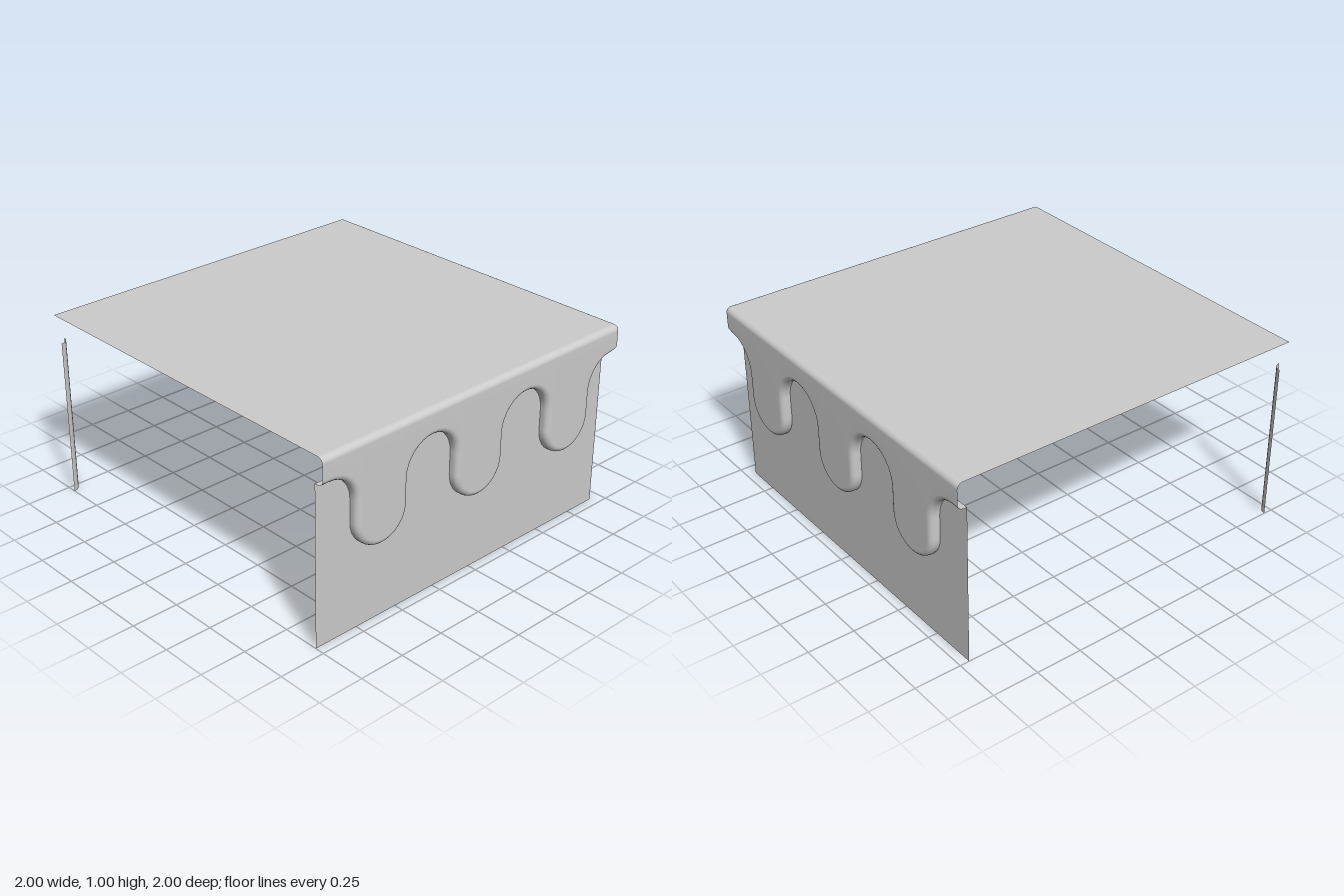
import * as THREE from 'three';

const R = 0.03;        // rounding of edges and corners
const WALL = 0.95;     // distance of the wall from the centre
const ARCH_TOP = 0.86; // underside of the icing between drips
const H = 0.08;        // path length on each side given to the corner turn

const material = new THREE.MeshStandardMaterial({ color: 0xcccccc, side: THREE.DoubleSide });

// Point on the L-shaped run around the outer corner: t = -2 (front end) .. 0 (corner) .. 2 (left end)
function onPath(t, y, reach, radius) {
  if (t <= -H - 1e-6) return [reach, y, -(1 + t)];
  if (t >= H + 1e-6) return [1 - t, y, -reach];
  const a = ((t + H) / (2 * H)) * Math.PI / 2;
  const c = reach - radius;
  return [c + radius * Math.cos(a), y, -c - radius * Math.sin(a)];
}

// Smooth surface from a grid of points
function gridMesh(name, columns) {
  const rows = columns[0].length;
  const index = [];
  for (let i = 0; i < columns.length - 1; i++) {
    for (let j = 0; j < rows - 1; j++) {
      const a = i * rows + j, b = a + rows;
      index.push(a, b, a + 1, b, b + 1, a + 1);
    }
  }
  const geometry = new THREE.BufferGeometry();
  geometry.setAttribute('position', new THREE.Float32BufferAttribute(columns.flat(2), 3));
  geometry.setIndex(index);
  geometry.computeVertexNormals();
  const mesh = new THREE.Mesh(geometry, material);
  mesh.name = name;
  return mesh;
}

// Scalloped lower edge along one side, s = -1 .. 1, with normals pointing out of the icing
function scallopEdge() {
  const r = 0.15875, pts = [{ s: -1, y: ARCH_TOP, ns: 0, ny: -1 }];
  const arc = (cs, cy, from, to, sign) => {
    const n = Math.round(Math.abs(to - from) / 11.25);
    for (let i = 0; i <= n; i++) {
      const a = THREE.MathUtils.degToRad(from + (to - from) * i / n);
      const c = Math.cos(a), d = Math.sin(a);
      pts.push({ s: cs + r * c, y: cy + r * d, ns: sign * c, ny: sign * d });
    }
  };
  const archY = ARCH_TOP - r, dripY = 0.42 + r;
  for (let k = -1; k <= 1; k++) {
    const centre = k * 4 * r;
    arc(centre - 2 * r, archY, k === -1 ? 90 : 180, 0, -1);
    arc(centre, dripY, 180, 360, 1);
  }
  arc(6 * r, archY, 180, 90, -1);
  pts.push({ s: 1, y: ARCH_TOP, ns: 0, ny: -1 });
  return pts;
}

// Edge for both sides, joined by the corner turn
function fullEdge() {
  const side = scallopEdge();
  const turn = [];
  for (let i = 0; i <= 8; i++) turn.push({ t: -H + 2 * H * i / 8, y: ARCH_TOP, ns: 0, ny: -1 });
  return [
    ...side.map(p => ({ ...p, t: p.s - 1 })).filter(p => p.t < -H - 0.001),
    ...turn,
    ...side.map(p => ({ ...p, t: p.s + 1 })).filter(p => p.t > H + 0.001),
  ];
}

// Icing: rolled lip, flat face with drips, rounded top edge
function makeIcing() {
  const steps = 5;
  const columns = fullEdge().map(p => {
    const col = [onPath(p.t, p.y, WALL, R)];
    const inner = inset => [p.t - p.ns * inset, p.y - p.ny * inset];
    for (let k = 0; k <= steps; k++) {
      const a = (k / steps) * Math.PI / 2;
      const [t, y] = inner(R * (1 - Math.cos(a)));
      col.push(onPath(t, y, 1 - R + R * Math.sin(a), R));
    }
    const t = inner(R)[0];
    for (let k = 0; k <= steps; k++) {
      const a = (k / steps) * Math.PI / 2;
      const out = R * Math.cos(a);
      col.push(onPath(t, 1 - R + R * Math.sin(a), 1 - R + out, out));
    }
    return col;
  });
  return gridMesh('icing', columns);
}

// Upright wall around the outer corner
function makeWall() {
  const ts = [-2, -1, -0.12];
  for (let i = 0; i <= 8; i++) ts.push(-H + 2 * H * i / 8);
  ts.push(0.12, 1, 2);
  return gridMesh('wall', ts.map(t => [0, ARCH_TOP].map(y => onPath(t, y, WALL, R))));
}

// Small hollow fillet at the opposite, inner corner
function makeInnerCorner() {
  const columns = [];
  for (let i = 0; i <= 6; i++) {
    const a = (i / 6) * Math.PI / 2;
    const x = -1 + 0.05 * Math.sin(a), z = 1 - 0.05 * Math.cos(a);
    columns.push([[x, 0, z], [x, ARCH_TOP, z]]);
  }
  return gridMesh('innerCorner', columns);
}

export function createModel() {
  const group = new THREE.Group();
  group.name = 'icedCornerBlock';

  // Flat top sheet, meeting the rounded icing edge
  const size = 2 - R;
  const top = new THREE.Mesh(new THREE.PlaneGeometry(size, size).rotateX(-Math.PI / 2), material);
  top.position.set(-R / 2, 1, R / 2);
  top.name = 'top';

  group.add(top, makeIcing(), makeWall(), makeInnerCorner());
  return group;
}
